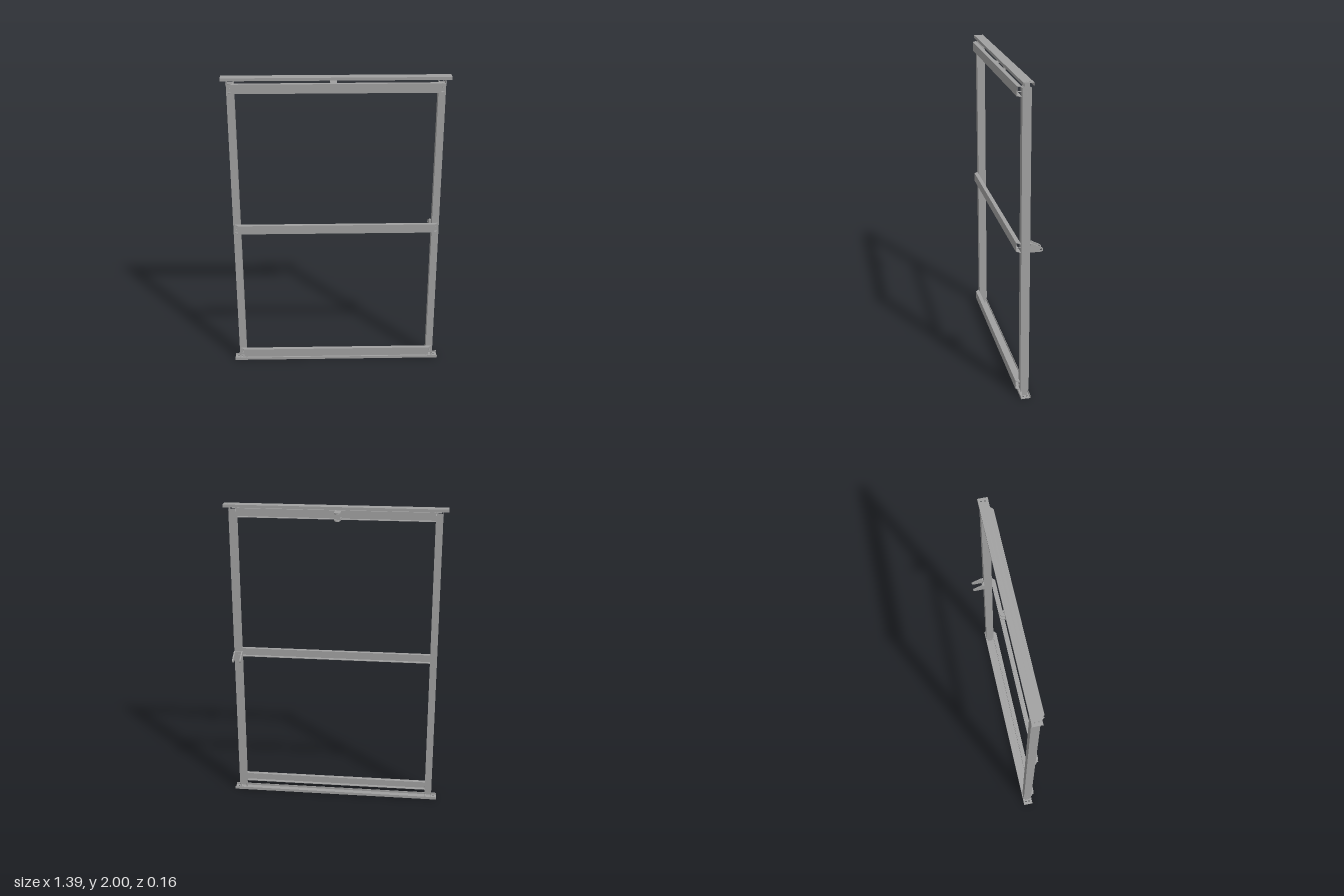
import * as THREE from 'three';

const steel = new THREE.MeshStandardMaterial({ color: 0xa0a0a0 });
steel.name = 'grey steel';

function add(parent, name, geometry, x = 0, y = 0, z = 0) {
  const mesh = new THREE.Mesh(geometry, steel);
  mesh.name = name;
  mesh.position.set(x, y, z);
  parent.add(mesh);
  return mesh;
}

// Box given by its lower and upper corners
function block(parent, name, a, b) {
  const size = b.map((v, i) => v - a[i]);
  return add(parent, name, new THREE.BoxGeometry(...size), ...b.map((v, i) => (v + a[i]) / 2));
}

// Flat plate from an outline with round holes [x, y, radius]
function plate(points, thickness, holes = []) {
  const shape = new THREE.Shape(points.map(p => new THREE.Vector2(...p)));
  for (const [x, y, r] of holes) shape.holes.push(new THREE.Path().absarc(x, y, r, 0, Math.PI * 2, true));
  return new THREE.ExtrudeGeometry(shape, { depth: thickness, bevelEnabled: false, curveSegments: 8 });
}

// Horizontal plate: outline is (x, z), extruded upwards
const flatPlate = (points, t, holes = []) =>
  plate(points.map(([x, z]) => [x, -z]), t, holes.map(([x, z, r]) => [x, -z, r])).rotateX(-Math.PI / 2);

// Rounded end of a lug
const arc = (cx, cy, r, from, to, n = 10) => Array.from({ length: n + 1 }, (_, i) => {
  const a = from + (to - from) * i / n;
  return [cx + r * Math.cos(a), cy + r * Math.sin(a)];
});

// Shallow end channel, open towards the middle of the frame
function endChannel(name, top) {
  const g = new THREE.Group();
  g.name = name;
  const holes = [];
  for (const s of [-1, 1]) for (const z of [0.014, 0.037]) holes.push([s * 0.675, z, 0.004]);
  const base = top ? 1.996 : 0;
  add(g, 'channelWeb', flatPlate([[-0.697, -0.004], [0.697, -0.004], [0.697, 0.057], [-0.697, 0.057]], 0.004, holes), 0, base, 0);
  const [y0, y1] = top ? [1.982, 1.996] : [0.004, 0.018];
  block(g, 'backFlange', [-0.697, y0, -0.004], [0.697, y1, -0.001]);
  block(g, 'frontFlange', [-0.697, y0, 0.054], [0.697, y1, 0.057]);
  return g;
}

// Upright tube with narrower ends seated in the channels
function post(name, side) {
  const g = new THREE.Group();
  g.name = name;
  const outline = [
    [0.01, 0.004], [0.043, 0.004], [0.043, 0.03], [0.053, 0.042], [0.053, 1.958], [0.043, 1.97],
    [0.043, 1.996], [0.01, 1.996], [0.01, 1.97], [0, 1.958], [0, 0.042], [0.01, 0.03],
  ].map(([z, y]) => [-z, y]);
  const holes = [0.05, 0.095, 1.905, 1.95].map(y => [-0.027, y, 0.004]);
  const sideWall = plate(outline, 0.003, holes).rotateY(Math.PI / 2);
  add(g, 'outerWall', sideWall, side > 0 ? 0.659 : -0.662);
  add(g, 'innerWall', sideWall, side > 0 ? 0.617 : -0.62);
  for (const z of [0, 0.05]) {
    const x = side * 0.6395;
    block(g, 'postFace', [x - 0.0195, 0.04, z], [x + 0.0195, 1.96, z + 0.003]);
  }
  return g;
}

// Cross rail: channel with its web in front and mitred flange ends
function rail(name, y) {
  const g = new THREE.Group();
  g.name = name;
  const h = 0.029, t = 0.003;
  block(g, 'railWeb', [-0.632, y - h, 0.075], [0.632, y + h, 0.078]);
  const flange = flatPlate([[-0.652, 0.053], [0.652, 0.053], [0.652, 0.058], [0.632, 0.077], [-0.632, 0.077], [-0.652, 0.058]], t);
  add(g, 'lowerFlange', flange, 0, y - h, 0);
  add(g, 'upperFlange', flange, 0, y + h - t, 0);
  // Fixing pins at both ends
  for (const s of [-1, 1]) {
    const pin = add(g, 'railPin', new THREE.CylinderGeometry(0.003, 0.003, 0.024, 10), s * 0.641, y, 0.065);
    pin.rotation.x = Math.PI / 2;
  }
  return g;
}

// Pair of horizontal eye plates behind the top rail
function topClevis() {
  const g = new THREE.Group();
  g.name = 'topClevis';
  const x = -0.016;
  const outline = [[x - 0.02, 0.075], [x - 0.02, 0], ...arc(x, -0.015, 0.015, Math.PI, Math.PI * 2), [x + 0.02, 0], [x + 0.02, 0.075]];
  for (const y of [1.914, 1.958]) add(g, 'eyePlate', flatPlate(outline, 0.007, [[x, -0.015, 0.008]]), 0, y, 0);
  block(g, 'clevisBack', [x - 0.02, 1.914, 0], [x + 0.02, 1.965, 0.006]);
  return g;
}

// Pair of tapered lugs behind the left post
function sideClevis() {
  const g = new THREE.Group();
  g.name = 'sideClevis';
  // Outline in (-z, y)
  const outline = [[0, 0.975], [0.064, 0.975], ...arc(0.066, 0.988, 0.013, -Math.PI / 2, Math.PI / 3), [0.012, 1.031], [0, 1.031]];
  const lug = plate(outline, 0.008, [[0.066, 0.988, 0.006]]).rotateY(Math.PI / 2);
  for (const x of [0.606, 0.655]) add(g, 'lug', lug, x, 0, 0);
  block(g, 'lugBase', [0.612, 0.975, -0.007], [0.656, 1.031, 0]);
  const bolt = add(g, 'lugBolt', new THREE.CylinderGeometry(0.008, 0.008, 0.008, 6), 0.634, 1.003, -0.01);
  bolt.rotation.x = Math.PI / 2;
  return g;
}

export function createModel() {
  const model = new THREE.Group();
  model.name = 'frame';
  model.add(
    endChannel('bottomChannel', false), endChannel('topChannel', true),
    post('leftPost', 1), post('rightPost', -1),
    rail('bottomRail', 0.068), rail('middleRail', 1.003), rail('topRail', 1.938),
    topClevis(), sideClevis(),
  );
  return model;
}
